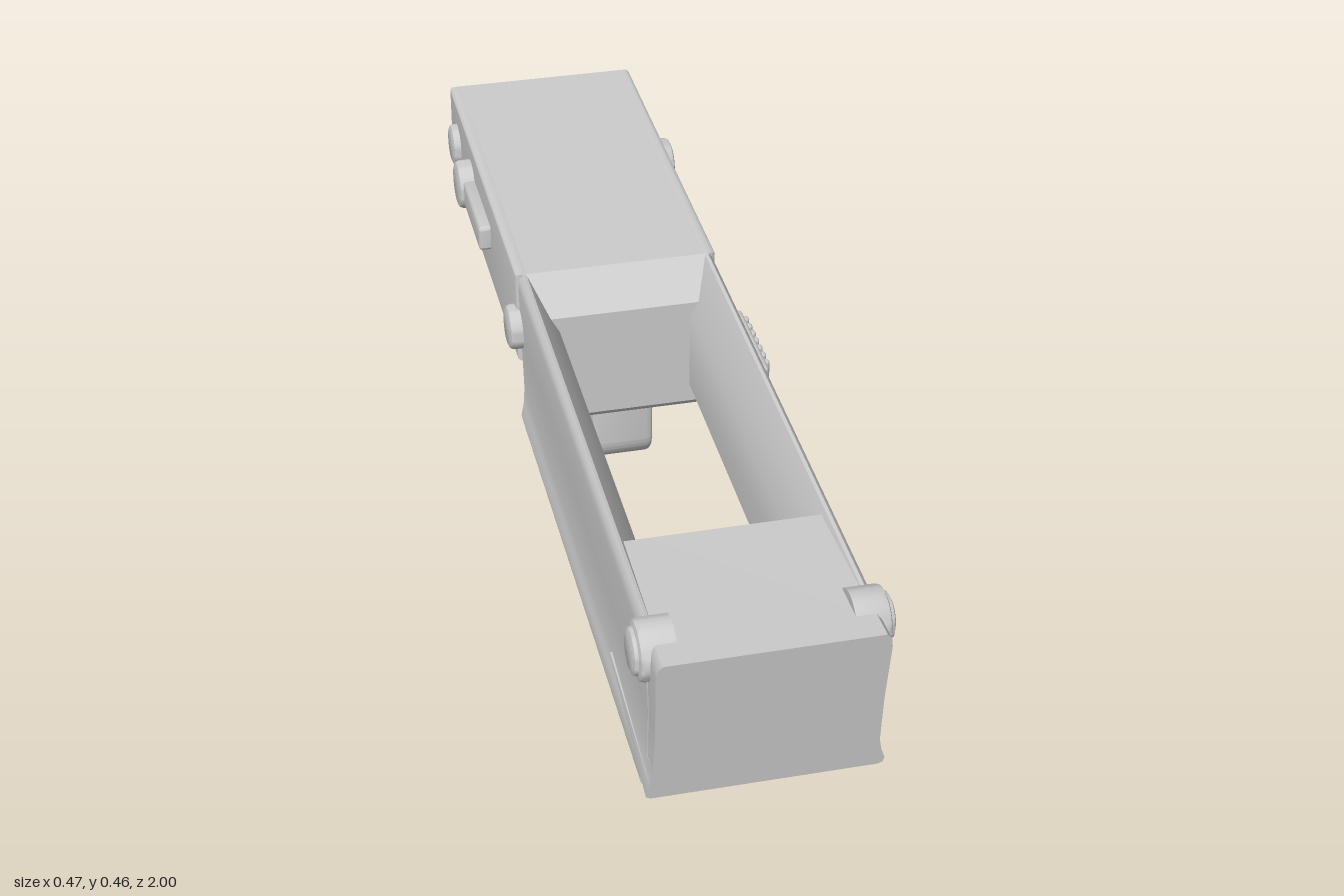
import * as THREE from 'three';
import { toCreasedNormals } from 'three/addons/utils/BufferGeometryUtils.js';
import { RoundedBoxGeometry } from 'three/addons/geometries/RoundedBoxGeometry.js';

const material = new THREE.MeshStandardMaterial({ color: 0xcccccc });
const polygon = (pts) => new THREE.Shape(pts.map(([a, b]) => new THREE.Vector2(a, b)));

function add(group, name, geometry, x = 0, y = 0, z = 0) {
  const mesh = new THREE.Mesh(geometry, material);
  mesh.name = name;
  mesh.position.set(x, y, z);
  group.add(mesh);
  return mesh;
}

// Extrude a (z, y) side profile across x, between x0 and x1
function acrossX(shape, x0, x1, bevel = 0) {
  const g = new THREE.ExtrudeGeometry(shape, {
    depth: x1 - x0 - 2 * bevel, curveSegments: 10, bevelEnabled: bevel > 0,
    bevelSize: bevel, bevelThickness: bevel, bevelOffset: -bevel, bevelSegments: 3,
  });
  g.translate(0, 0, -(x1 - x0) / 2 + bevel).rotateY(-Math.PI / 2).translate((x0 + x1) / 2, 0, 0);
  return toCreasedNormals(g, 0.6);
}

// Extrude an (x, y) section along z, then let a rule move each vertex
function alongZ(shape, z0, z1, rule, bevel = 0) {
  const g = new THREE.ExtrudeGeometry(shape, {
    depth: z1 - z0 - bevel, steps: 1, curveSegments: 6, bevelEnabled: bevel > 0,
    bevelSize: bevel, bevelThickness: bevel, bevelOffset: -bevel, bevelSegments: 3,
  });
  g.translate(0, 0, z0);
  const p = g.attributes.position, v = new THREE.Vector3();
  for (let i = 0; i < p.count; i++) {
    rule(v.fromBufferAttribute(p, i));
    p.setXYZ(i, v.x, v.y, v.z);
  }
  return toCreasedNormals(g, 0.6);
}

// Round-edged pin along x, from the centre of its base outwards
function pinGeometry(radius, length) {
  const e = 0.01;
  const pts = [[0, 0], [radius, 0], [radius, length - e], [radius - e * 0.3, length - e * 0.3],
    [radius - e, length], [0, length]].map(([r, h]) => new THREE.Vector2(r, h));
  return toCreasedNormals(new THREE.LatheGeometry(pts, 32).rotateZ(-Math.PI / 2), 0.6);
}

// Rounded rectangle as a shape or path
function roundRect(path, x0, y0, x1, y1, r) {
  path.moveTo(x0 + r, y0);
  path.lineTo(x1 - r, y0).absarc(x1 - r, y0 + r, r, -Math.PI / 2, 0);
  path.lineTo(x1, y1 - r).absarc(x1 - r, y1 - r, r, 0, Math.PI / 2);
  path.lineTo(x0 + r, y1).absarc(x0 + r, y1 - r, r, Math.PI / 2, Math.PI);
  path.lineTo(x0, y0 + r).absarc(x0 + r, y0 + r, r, Math.PI, Math.PI * 1.5);
  return path;
}

export function createModel() {
  const model = new THREE.Group();
  model.name = 'receiverFrame';

  // Outer side of the front body, with a flared foot and rounded top
  const outer = [[0.195, 0.14], [0.203, 0.144], [0.205, 0.155], [0.198, 0.175], [0.193, 0.2],
    [0.192, 0.3], [0.195, 0.42], [0.192, 0.44], [0.184, 0.449]];
  const inner = [[0.178, 0.447], [0.13, 0.36], [0.13, 0.2], [0.182, 0.14]];

  // Side walls, slanted at the rear where the body steps up
  const wallSlant = (v) => {
    if (v.z < 0) v.z = -0.14 - 0.06 * THREE.MathUtils.clamp((v.y - 0.14) / 0.1, 0, 1);
  };
  const rightToLeft = ([x, y]) => [-x, y];
  const section = [...outer, ...inner];
  add(model, 'leftWall', alongZ(polygon(section), -0.2, 0.93, wallSlant));
  add(model, 'rightWall', alongZ(polygon(section.map(rightToLeft).reverse()), -0.2, 0.93, wallSlant));

  // Front block: leaning nose, flat deck and a ramp underneath
  const full = [...outer, ...outer.map(rightToLeft).reverse()];
  const noseRule = (v) => {
    if (v.z > 0.8) v.z += 0.035 * (v.y - 0.45) / 0.31;
    else {
      v.x *= 0.96;
      v.y = THREE.MathUtils.clamp(v.y, 0.2, 0.437);
    }
  };
  add(model, 'frontBlock', alongZ(polygon(full), 0.655, 1.0, noseRule, 0));
  // Deck shoulders that narrow toward the opening are cut by the sloping walls

  // Rear housing: two cheeks with a trigger slot between them
  const profile = [[-1, 0.25], [-0.22, 0.25], [-0.195, 0.225], [-0.14, 0.14], [-0.12, 0.16],
    [-0.12, 0.39], [-0.2, 0.449], [-1, 0.449]];
  const slotted = [[-1, 0.25], [-0.7, 0.25], [-0.7, 0.38], [-0.25, 0.38], [-0.25, 0.25],
    ...profile.slice(1)];
  const cheek = polygon(profile);
  add(model, 'rearHousingCore', acrossX(polygon(slotted), -0.04, 0.04));
  for (const s of [-1, 1]) {
    add(model, s > 0 ? 'leftCheek' : 'rightCheek',
      acrossX(cheek, s > 0 ? 0.04 : -0.185, s > 0 ? 0.185 : -0.04));
    // Outer cheek skin starts at the seam and has softened long edges
    const skin = polygon([[-1, 0.25], [-0.2, 0.25], [-0.2, 0.449], [-1, 0.449]]);
    add(model, s > 0 ? 'leftCheekSkin' : 'rightCheekSkin',
      acrossX(skin, s > 0 ? 0.17 : -0.2, s > 0 ? 0.2 : -0.17, 0.008));
  }

  // Trigger guard loop
  const guard = roundRect(new THREE.Shape(), -0.825, 0.003, -0.145, 0.29, 0.065);
  guard.holes.push(roundRect(new THREE.Path(), -0.76, 0.053, -0.225, 0.25, 0.04));
  add(model, 'triggerGuard', acrossX(guard, -0.063, 0.063, 0.012));

  // Curved trigger
  const trigger = new THREE.Shape();
  trigger.moveTo(-0.325, 0.3);
  trigger.lineTo(-0.325, 0.25);
  trigger.bezierCurveTo(-0.36, 0.18, -0.345, 0.12, -0.31, 0.075);
  trigger.lineTo(-0.345, 0.08);
  trigger.bezierCurveTo(-0.385, 0.13, -0.395, 0.19, -0.385, 0.25);
  trigger.lineTo(-0.385, 0.3);
  add(model, 'trigger', acrossX(trigger, -0.03, 0.03, 0.006));

  // Pins and levers on both sides
  const lever = roundRect(new THREE.Shape(), -0.75, 0.333, -0.493, 0.388, 0.008);
  for (const s of [1, -1]) {
    const side = new THREE.Group();
    side.name = s > 0 ? 'leftFittings' : 'rightFittings';
    if (s < 0) side.rotation.y = Math.PI;
    const pin = (name, z, y, r, x0, x1) => add(side, name, pinGeometry(r, x1 - x0), x0, y, s * z);
    pin('frontPinBoss', 0.905, 0.41, 0.053, 0.148, 0.21);
    pin('frontPinHead', 0.905, 0.41, 0.042, 0.2, 0.219);
    pin('middlePin', -0.212, 0.325, 0.045, 0.17, 0.219);
    pin('rearPin', -0.905, 0.36, 0.044, 0.17, 0.217);
    pin('leverHub', -0.73, 0.36, 0.051, 0.17, 0.233);
    model.add(side);
    add(model, 'leverArm', acrossX(lever, s > 0 ? 0.18 : -0.224, s > 0 ? 0.224 : -0.18, 0.006));
  }

  // Ribbed catch on the left side only
  add(model, 'catchPlate', new RoundedBoxGeometry(0.04, 0.064, 0.212, 3, 0.008), 0.198, 0.368, 0.042);
  for (let i = 0; i < 7; i++) {
    add(model, 'catchRib', new RoundedBoxGeometry(0.02, 0.054, 0.015, 2, 0.006),
      0.217, 0.368, -0.04 + i * 0.0255);
  }
  return model;
}
